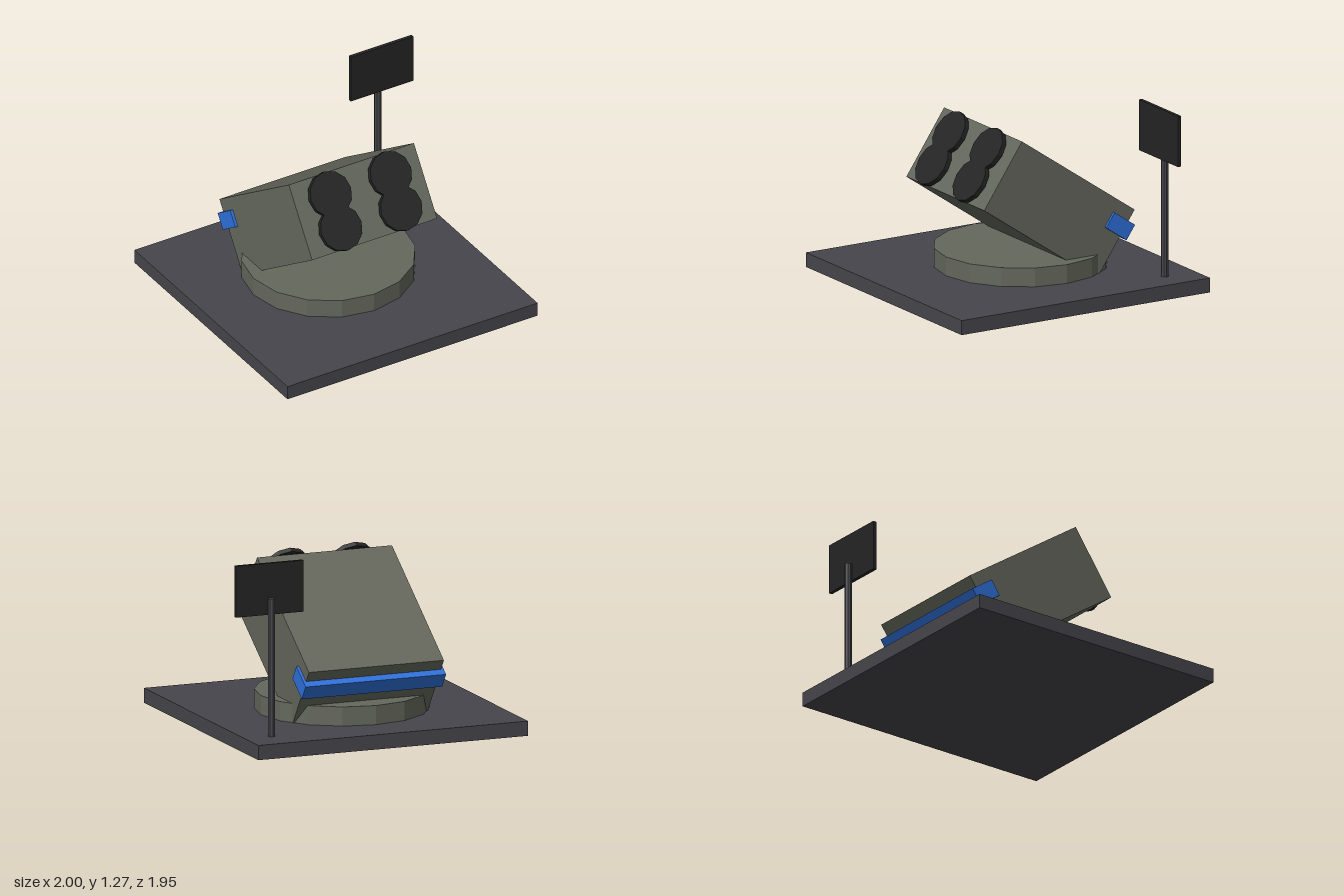
import * as THREE from 'three';

const mat = (name, color) => {
  const m = new THREE.MeshStandardMaterial({ color });
  m.name = name;
  m.flatShading = true;
  return m;
};

export function createModel() {
  const slate = mat('slate grey', 0x46454b);
  const olive = mat('olive grey', 0x64675c);
  const black = mat('soft black', 0x242424);
  const blue = mat('bright blue', 0x2f6fd9);

  const model = new THREE.Group();
  model.name = 'launcherOnPad';

  const add = (parent, name, geometry, material, x, y, z) => {
    const mesh = new THREE.Mesh(geometry, material);
    mesh.name = name;
    mesh.position.set(x, y, z);
    parent.add(mesh);
    return mesh;
  };
  const box = (w, h, d) => new THREE.BoxGeometry(w, h, d);
  const cyl = (r, h, sides) => new THREE.CylinderGeometry(r, r, h, sides);

  const cx = -0.026; // centre line of pad and launcher

  // Square pad and round turntable
  add(model, 'pad', box(1.948, 0.1, 1.948), slate, cx, 0.05, 0);
  add(model, 'turntable', cyl(0.584, 0.13, 16), olive, cx, 0.165, -0.098);

  // Tilted launcher box, built upright around its own centre
  const launcher = new THREE.Group();
  launcher.name = 'launcher';
  launcher.position.set(cx, 0.583, -0.098);
  launcher.rotation.x = -0.6;
  model.add(launcher);
  add(launcher, 'launcherBody', box(0.974, 0.525, 1.07), olive, 0, 0, 0);

  // Four tube covers floating just ahead of the front face
  for (const x of [-0.234, 0.234]) {
    for (const y of [-0.118, 0.118]) {
      const cover = add(launcher, 'tubeCover', cyl(0.156, 0.034, 12), black, x, y, 0.569);
      cover.rotation.x = Math.PI / 2;
    }
  }

  // Blue band wrapped round the rear
  add(launcher, 'rearBand', box(1.013, 0.117, 0.193), blue, 0, 0.117, -0.487);

  // Sign on a pole at the back corner
  add(model, 'signPole', cyl(0.025, 0.935, 8), slate, 0.753, 0.567, -0.74);
  add(model, 'signBoard', box(0.487, 0.35, 0.025), black, 0.756, 1.096, -0.702);

  return model;
}
